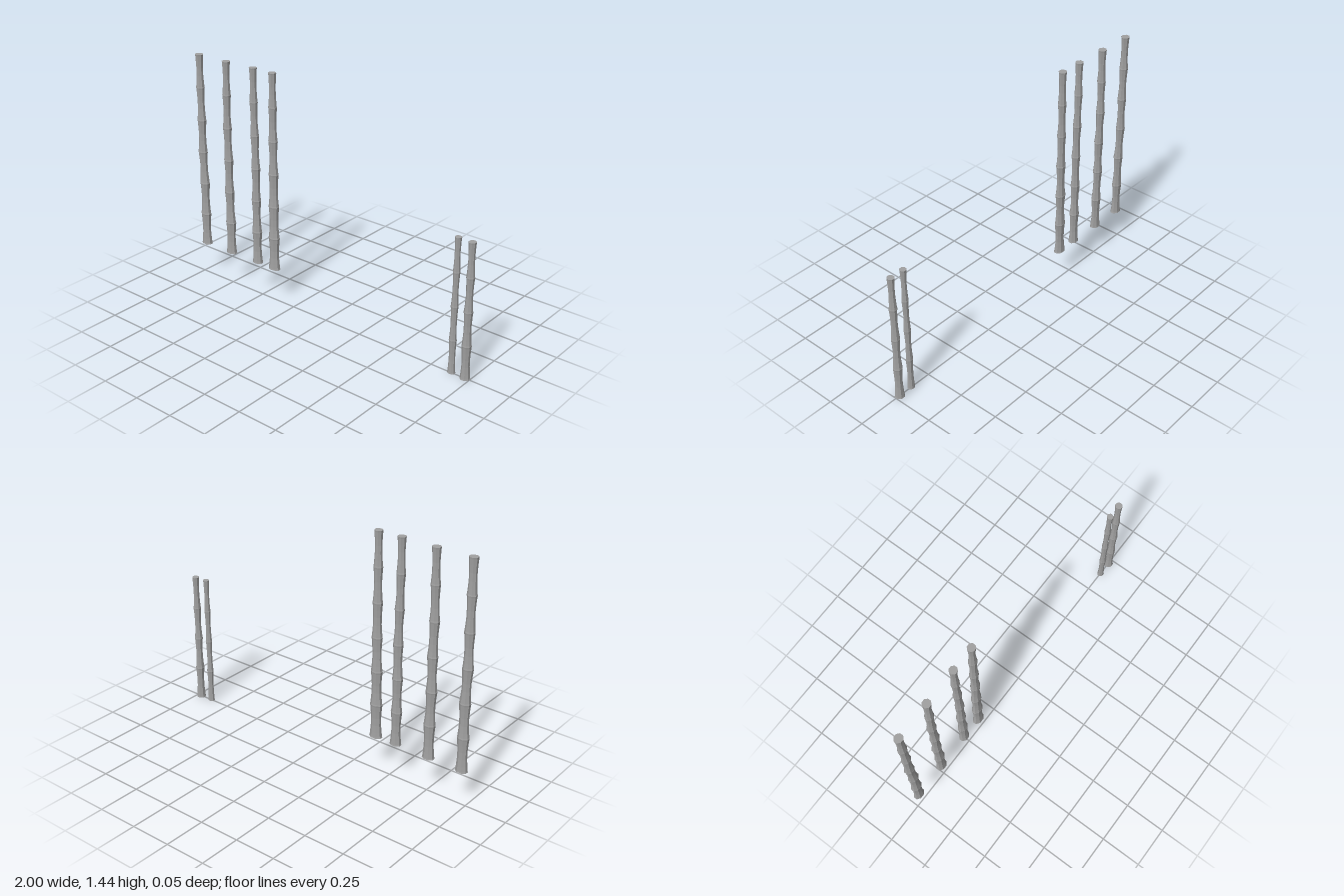
import * as THREE from 'three';

const SIDES = 8;
const STEP = 0.2045; // length of one cane section
const FLAT = Math.cos(Math.PI / SIDES); // facet distance relative to corner radius
// Section outline: [fraction of length, fraction of joint radius]
const PROFILE = [[0, 1], [0.04, 0.94], [0.18, 0.86], [0.38, 0.78], [0.6, 0.78], [0.8, 0.86], [0.96, 0.95], [1, 1]];

// Base height, joint centres in x from bottom to top, and [x, z] radii at base and top
const STALKS = [
  { y: 0.208, xs: [-0.963, -0.962, -0.960, -0.965, -0.962, -0.962, -0.960], base: [0.035, 0.026], top: [0.025, 0.023] },
  { y: 0.208, xs: [-0.751, -0.749, -0.752, -0.749, -0.751, -0.747, -0.743], base: [0.035, 0.026], top: [0.024, 0.023] },
  { y: 0.212, xs: [-0.533, -0.533, -0.533, -0.530, -0.532, -0.534, -0.532], base: [0.033, 0.026], top: [0.023, 0.022] },
  { y: 0.212, xs: [-0.398, -0.396, -0.394, -0.391, -0.390, -0.388, -0.386], base: [0.038, 0.027], top: [0.023, 0.022] },
  { y: 0.003, xs: [0.883, 0.882, 0.882, 0.883, 0.883], base: [0.022, 0.019], top: [0.018, 0.018] },
  { y: 0.001, xs: [0.971, 0.970, 0.969, 0.970, 0.970], base: [0.028, 0.027], top: [0.020, 0.021] },
];

const material = new THREE.MeshStandardMaterial({ color: 0xa0a0a0, flatShading: true });

// One section: an open cylinder whose rings follow the waisted outline
function makeSection(stalk, i) {
  const count = stalk.xs.length - 1;
  const geo = new THREE.CylinderGeometry(1, 1, 1, SIDES, PROFILE.length - 1, true, Math.PI / SIDES);
  const pos = geo.attributes.position;
  for (let v = 0; v < pos.count; v++) {
    const ring = Math.round((pos.getY(v) + 0.5) * (PROFILE.length - 1));
    const [t, k] = PROFILE[ring];
    const along = (i + t) / count;
    const rx = THREE.MathUtils.lerp(stalk.base[0], stalk.top[0], along) * k / FLAT;
    const rz = THREE.MathUtils.lerp(stalk.base[1], stalk.top[1], along) * k / FLAT;
    const cx = THREE.MathUtils.lerp(stalk.xs[i], stalk.xs[i + 1], t);
    pos.setXYZ(v, cx + pos.getX(v) * rx, stalk.y + (i + t) * STEP, pos.getZ(v) * rz);
  }
  geo.computeVertexNormals();
  const mesh = new THREE.Mesh(geo, material);
  mesh.name = 'caneSection';
  return mesh;
}

// Flat disc closing an end of the stalk
function makeCap(name, x, y, [rx, rz], up) {
  const geo = new THREE.CircleGeometry(1, SIDES, Math.PI / SIDES);
  geo.rotateX(up ? -Math.PI / 2 : Math.PI / 2);
  geo.scale(rx / FLAT, 1, rz / FLAT);
  const mesh = new THREE.Mesh(geo, material);
  mesh.name = name;
  mesh.position.set(x, y, 0);
  return mesh;
}

export function createModel() {
  const model = new THREE.Group();
  model.name = 'bambooStalks';
  for (const s of STALKS) {
    const stalk = new THREE.Group();
    const count = s.xs.length - 1;
    stalk.name = count > 4 ? 'tallStalk' : 'shortStalk';
    for (let i = 0; i < count; i++) stalk.add(makeSection(s, i));
    stalk.add(makeCap('bottomCap', s.xs[0], s.y, s.base, false));
    stalk.add(makeCap('topCap', s.xs[count], s.y + count * STEP, s.top, true));
    model.add(stalk);
  }
  return model;
}
